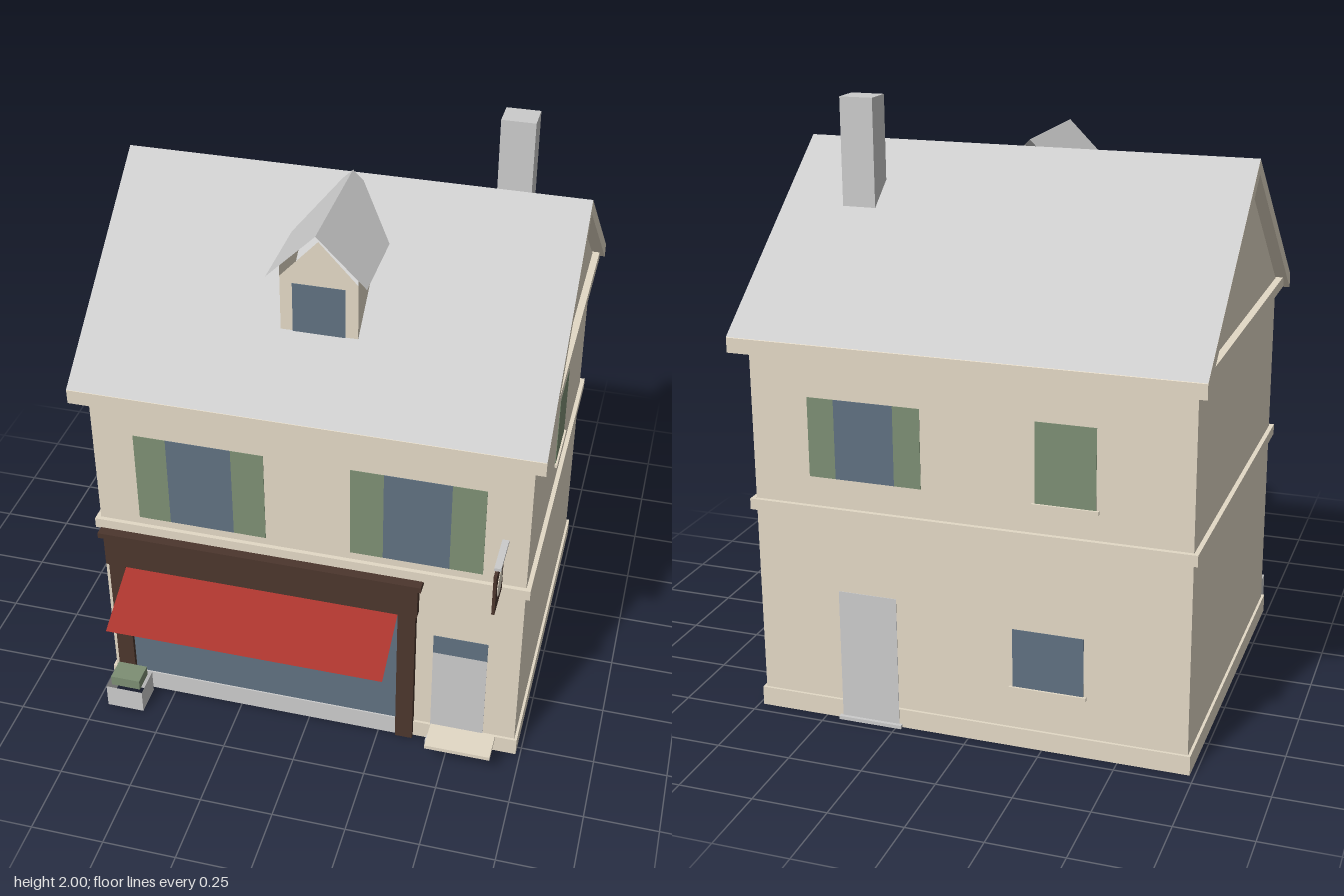
import * as THREE from 'three';

export function createModel() {
  const root = new THREE.Group();
  const mat = (name, color, side = THREE.FrontSide) =>
    Object.assign(new THREE.MeshStandardMaterial({ color, side }), { name });
  const cream = mat('cream render', 0xe3d9c6, THREE.DoubleSide);
  const grey = mat('grey slate', 0xcbcbcb, THREE.DoubleSide);
  const green = mat('shutter green', 0x7d8f74);
  const glass = mat('blue glass', 0x607181);
  const brown = mat('dark timber', 0x4c362d);
  const red = mat('awning red', 0xa8342d, THREE.DoubleSide);

  const add = (name, geometry, material) => {
    const mesh = new THREE.Mesh(geometry, material);
    mesh.name = name;
    root.add(mesh);
    return mesh;
  };
  // Box given by its limits on each axis
  const box = (name, material, [x0, x1], [y0, y1], [z0, z1]) =>
    add(name, new THREE.BoxGeometry(x1 - x0, y1 - y0, z1 - z0)
      .translate((x0 + x1) / 2, (y0 + y1) / 2, (z0 + z1) / 2), material);
  // Flat four-cornered sheet, corners counter-clockwise from outside
  const sheet = (name, material, a, b, c, d) => {
    const g = new THREE.BufferGeometry();
    g.setAttribute('position', new THREE.Float32BufferAttribute([a, b, c, a, c, d].flat(), 3));
    g.computeVertexNormals();
    return add(name, g, material);
  };
  const outline = points => new THREE.Shape(points.map(p => new THREE.Vector2(...p)));
  const rect = (x, z0, z1) => outline([[-x, -z1], [x, -z1], [x, -z0], [-x, -z0]]);

  // Hollow walls with gables, open underneath
  const W = 0.725, F = 0.523, B = -0.698, MID = -0.087;
  sheet('frontWall', cream, [-W, 0, F], [W, 0, F], [W, 1.3, F], [-W, 1.3, F]);
  sheet('backWall', cream, [W, 0, B], [-W, 0, B], [-W, 1.3, B], [W, 1.3, B]);
  for (const x of [-W, W]) {
    const gable = outline([[B, 0], [F, 0], [F, 1.3], [MID, 1.785], [B, 1.3]]);
    add('gableWall', new THREE.ShapeGeometry(gable).rotateY(-Math.PI / 2).translate(x, 0, 0), cream);
  }

  // Bands running round the walls
  for (const [name, y0, y1, out] of [['plinth', 0, 0.065, 0.01], ['floorBand', 0.71, 0.747, 0.016],
    ['eavesBand', 1.267, 1.303, 0.025]]) {
    const ring = rect(W + out, B - out, F + out);
    ring.holes.push(rect(W + 0.001, B - 0.001, F + 0.001));
    add(name, new THREE.ExtrudeGeometry(ring, { depth: y1 - y0, bevelEnabled: false })
      .rotateX(-Math.PI / 2).translate(0, y0, 0), cream);
  }

  // Main roof: cream edge boards with slate slopes on top
  const R = 0.765, ZF = 0.593, ZB = -0.767;
  const edge = outline([[ZF, 1.253], [ZF, 1.302], [MID, 1.83], [ZB, 1.302], [ZB, 1.253], [MID, 1.783]]);
  add('roofEdge', new THREE.ExtrudeGeometry(edge, { depth: R * 2, bevelEnabled: false })
    .rotateY(-Math.PI / 2).translate(R, 0, 0), cream);
  const e = 1.304, r = 1.832;
  sheet('frontRoofSlope', grey, [-R, e, ZF], [R, e, ZF], [R, r, MID], [-R, r, MID]);
  sheet('backRoofSlope', grey, [R, e, ZB], [-R, e, ZB], [-R, r, MID], [R, r, MID]);
  box('chimney', grey, [0.44, 0.553], [1.62, 2], [-0.327, -0.23]);

  // Dormer
  const face = outline([[-0.125, 1.485], [0.125, 1.485], [0.125, 1.68], [0, 1.815], [-0.125, 1.68]]);
  add('dormerFront', new THREE.ShapeGeometry(face).translate(0, 0, 0.355), cream);
  box('dormerWindow', glass, [-0.085, 0.085], [1.488, 1.66], [0.3555, 0.3575]);
  for (const s of [-1, 1]) {
    const x = s * 0.125;
    const wall = [[x, 1.485, 0.355], [x, 1.59, 0.22], [x, 1.725, 0.05], [x, 1.725, 0.355]];
    sheet('dormerSide', cream, ...(s > 0 ? wall : wall.reverse()));
    const slope = [[s * 0.16, 1.69, 0.387], [s * 0.16, 1.69, -0.065], [0, 1.85, -0.065], [0, 1.85, 0.387]];
    sheet('dormerRoof', grey, ...(s > 0 ? slope : slope.reverse()));
  }

  // Thin plates on the front (s = 1) or back (s = -1) wall
  const panel = (name, material, s, xs, ys, out = 0.001) => {
    const z = (s > 0 ? F : B) + s * out;
    return box(name, material, xs, ys, s > 0 ? [z, z + 0.002] : [z - 0.002, z]);
  };

  // Upper windows with open shutters
  const shuttered = (x, half, shutter, ys, s) => {
    panel('windowGlass', glass, s, [x - half, x + half], ys);
    panel('shutter', green, s, [x - half - shutter, x - half], ys);
    panel('shutter', green, s, [x + half, x + half + shutter], ys);
  };
  for (const s of [-1, 1]) shuttered(s * 0.363, 0.11, 0.11, [0.775, 1.11], 1);
  shuttered(0.34, 0.1, 0.09, [0.845, 1.11], -1);

  // Closed side and back windows with sills
  const f = F + 0.001, b = B - 0.001, w = W + 0.001;
  box('sideShutter', green, [w, w + 0.002], [0.845, 1.11], [-0.222, -0.025]);
  box('sideSill', cream, [w, w + 0.009], [0.833, 0.845], [-0.23, -0.017]);
  panel('backShutter', green, -1, [-0.42, -0.225], [0.845, 1.11]);
  box('backSill', cream, [-0.43, -0.215], [0.833, 0.845], [b - 0.009, b]);
  panel('backWindow', glass, -1, [-0.385, -0.15], [0.21, 0.41]);
  box('backWindowSill', cream, [-0.395, -0.14], [0.198, 0.21], [b - 0.009, b]);

  // Doors and steps
  panel('frontDoor', grey, 1, [0.433, 0.617], [0.012, 0.41], 0.012);
  panel('doorTransom', glass, 1, [0.433, 0.617], [0.41, 0.485], 0.012);
  box('frontStep', grey, [0.42, 0.628], [0, 0.012], [f, 0.56]);
  panel('backDoor', grey, -1, [0.24, 0.44], [0.012, 0.46], 0.011);
  box('backStep', grey, [0.23, 0.45], [0, 0.012], [b - 0.024, b]);

  // Shopfront
  box('shopWindow', glass, [-0.645, 0.312], [0.075, 0.57], [f, F + 0.012]);
  box('stallRiser', grey, [-0.645, 0.312], [0, 0.075], [f, 0.54]);
  for (const x of [-0.702, 0.312]) box('pilaster', brown, [x, x + 0.06], [0, 0.57], [f, 0.55]);
  box('shopFascia', brown, [-0.71, 0.378], [0.568, 0.695], [f, 0.556]);
  box('shopCornice', brown, [-0.722, 0.392], [0.693, 0.713], [f, 0.573]);
  sheet('awning', red, [-0.64, 0.457, 0.762], [0.312, 0.457, 0.762], [0.312, 0.568, 0.54], [-0.64, 0.568, 0.54]);

  // Hanging sign
  box('signBracket', grey, [0.638, 0.66], [0.92, 0.931], [f, 0.667]);
  box('signBoard', brown, [0.64, 0.65], [0.755, 0.909], [0.551, 0.683]);
  add('signDisc', new THREE.CylinderGeometry(0.044, 0.044, 0.014, 20)
    .rotateZ(Math.PI / 2).translate(0.645, 0.832, 0.616), cream);

  // Open planter with hedge, and bench
  const corners = [[-0.71, 0.662], [-0.578, 0.662], [-0.578, 0.555], [-0.71, 0.555]];
  corners.forEach(([x0, z0], i) => {
    const [x1, z1] = corners[(i + 1) % 4];
    sheet('planterSide', grey, [x0, 0, z0], [x1, 0, z1], [x1, 0.088, z1], [x0, 0.088, z0]);
  });
  box('planterHedge', green, [-0.695, -0.59], [0.088, 0.126], [0.57, 0.648]);
  box('benchSeat', cream, [0.438, 0.663], [0.08, 0.094], [0.555, 0.66]);

  return root;
}
